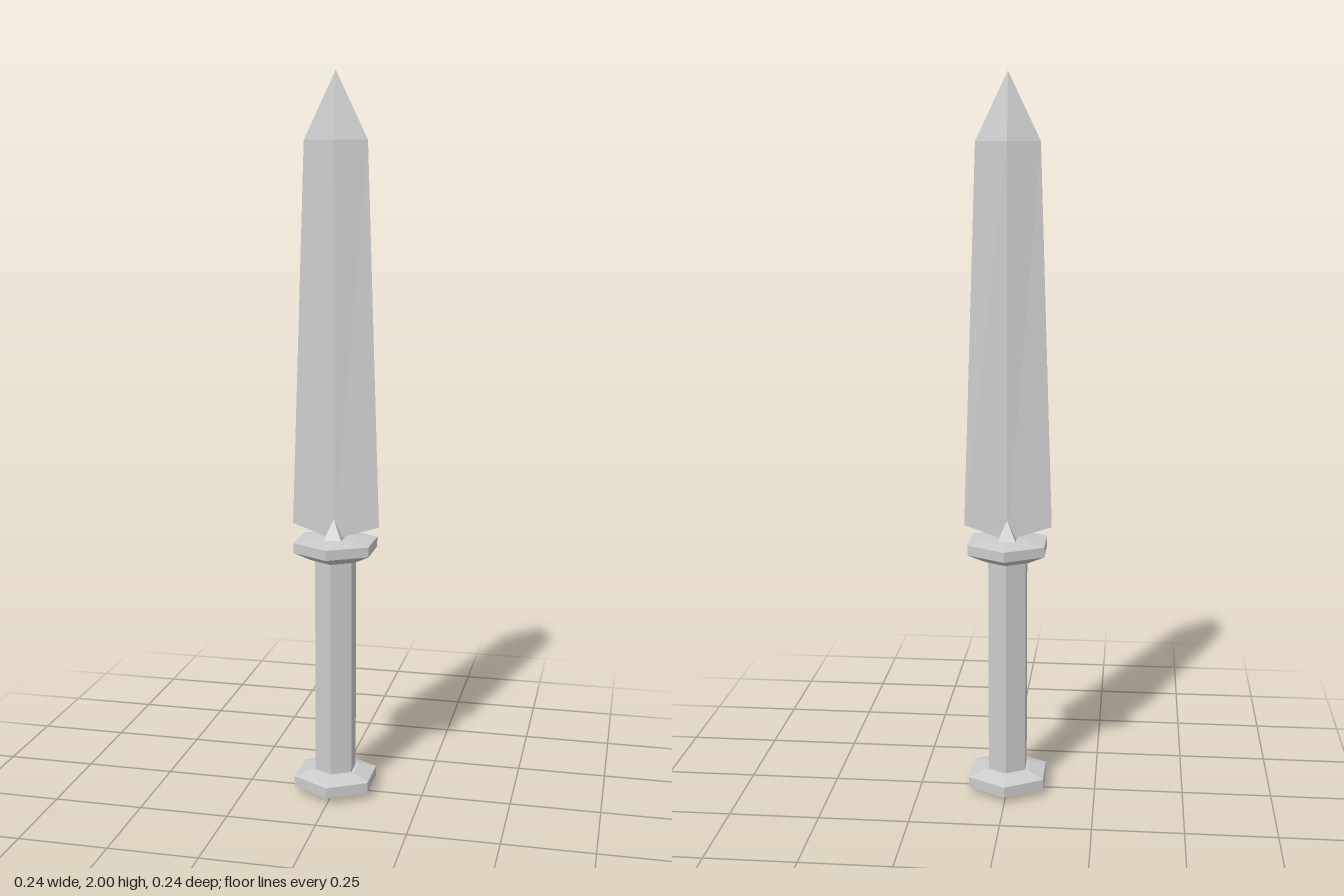
import * as THREE from 'three';

const material = new THREE.MeshStandardMaterial({ color: 0xcccccc, flatShading: true });

function addPart(group, name, geometry) {
  const mesh = new THREE.Mesh(geometry, material);
  mesh.name = name;
  group.add(mesh);
  return mesh;
}

// Six-sided solid from a [radius, height] profile, corners on the z axis
function hexLathe(profile) {
  return new THREE.LatheGeometry(profile.map(([r, y]) => new THREE.Vector2(r, y)), 6);
}

// Diamond-section blade: two rings of four points, closed by a tip and a notched base
function bladeGeometry() {
  const ring = (w, d, yEdge, yRidge) => [
    [w, yEdge, 0], [0, yRidge, d], [-w, yEdge, 0], [0, yRidge, -d],
  ];
  const points = [
    ...ring(0.122, 0.024, 0.775, 0.74),
    ...ring(0.087, 0.024, 1.82, 1.82),
    [0, 2, 0],
  ];
  const faces = [];
  for (let i = 0; i < 4; i++) {
    const j = (i + 1) % 4;
    faces.push(i, i + 4, j, j, i + 4, j + 4); // blade side
    faces.push(i + 4, 8, j + 4); // point
  }
  faces.push(0, 1, 3, 1, 2, 3); // base
  const geometry = new THREE.BufferGeometry();
  geometry.setAttribute('position', new THREE.Float32BufferAttribute(points.flat(), 3));
  geometry.setIndex(faces);
  const flat = geometry.toNonIndexed();
  flat.computeVertexNormals();
  return flat;
}

export function createModel() {
  const dagger = new THREE.Group();
  dagger.name = 'dagger';

  addPart(dagger, 'pommel', hexLathe([
    [0, 0], [0.08, 0.004], [0.122, 0.02], [0.122, 0.05], [0.07, 0.065], [0, 0.065],
  ]));

  const grip = addPart(dagger, 'grip', new THREE.CylinderGeometry(0.06, 0.06, 0.64, 6));
  grip.position.y = 0.37;

  addPart(dagger, 'guard', hexLathe([
    [0, 0.68], [0.07, 0.68], [0.122, 0.705], [0.122, 0.733], [0.06, 0.741], [0, 0.741],
  ]));

  addPart(dagger, 'blade', bladeGeometry());

  // Small pyramids clasping the blade front and back
  for (const side of [1, -1]) {
    const geometry = new THREE.ConeGeometry(Math.SQRT2, 0.06, 4).rotateY(Math.PI / 4);
    geometry.scale(0.027, 1, 0.0235);
    const clasp = addPart(dagger, side > 0 ? 'frontClasp' : 'backClasp', geometry);
    clasp.position.set(0, 0.767, side * 0.0235);
  }

  return dagger;
}
